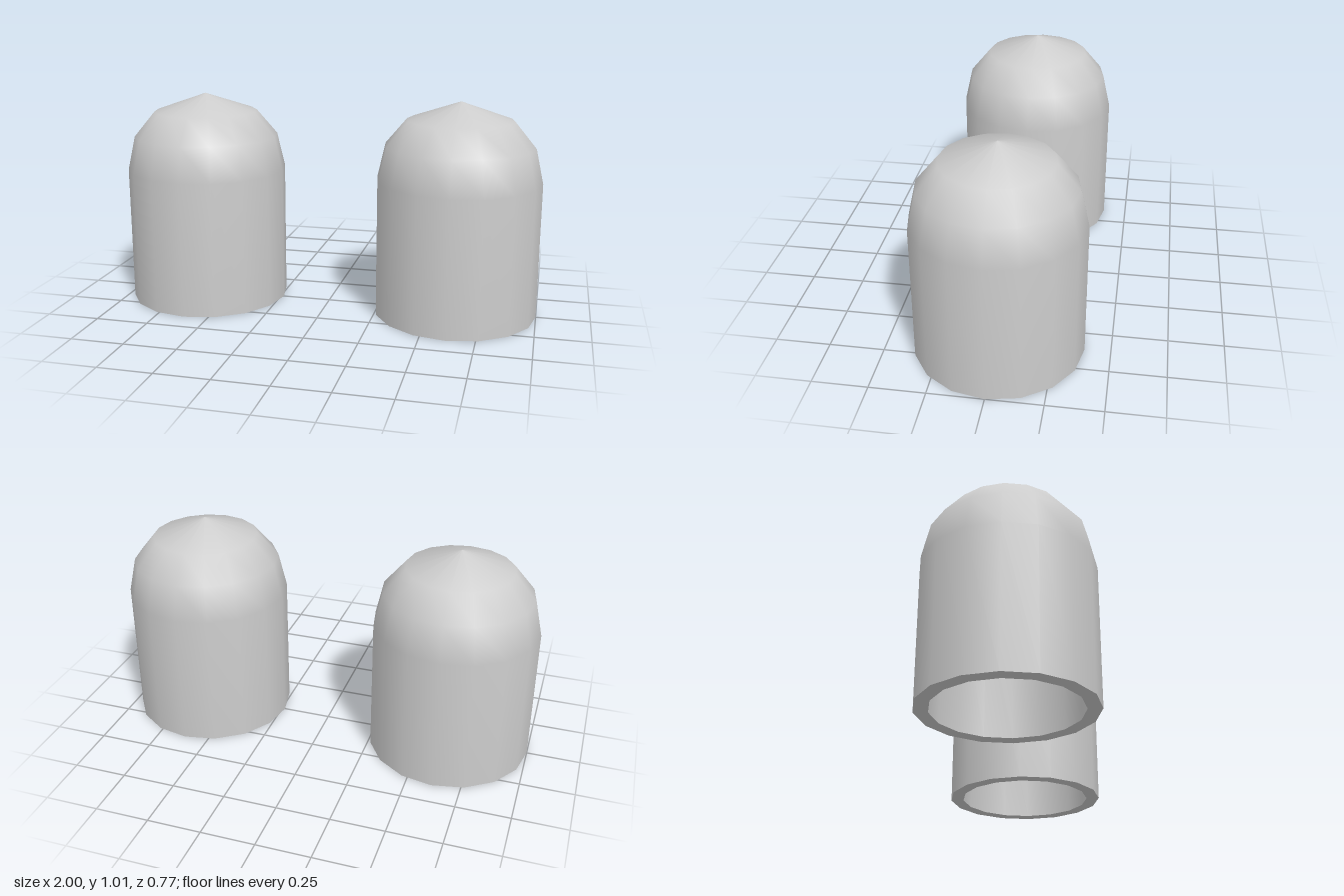
import * as THREE from 'three';

const SIDES = 16;
const material = new THREE.MeshStandardMaterial({ color: 0xcccccc });

// Each profile runs so that its faces point out of the solid wall.
const profiles = {
  outerShell: [[0.383, 0], [0.383, 0.643], [0.346, 0.805], [0.247, 0.924], [0, 1.01]],
  innerShell: [[0, 0.94], [0.206, 0.868], [0.289, 0.769], [0.32, 0.634], [0.32, 0]],
  bottomRim: [[0.32, 0], [0.383, 0]],
};

// Hollow, open-bottomed domed cap
function createCap(name) {
  const cap = new THREE.Group();
  cap.name = name;
  for (const [part, points] of Object.entries(profiles)) {
    const geometry = new THREE.LatheGeometry(points.map(([r, y]) => new THREE.Vector2(r, y)), SIDES);
    const mesh = new THREE.Mesh(geometry, material);
    mesh.name = part;
    cap.add(mesh);
  }
  return cap;
}

export function createModel() {
  const model = new THREE.Group();
  model.name = 'domedCaps';
  // Matching pair, left and right
  for (const [name, side] of [['leftCap', 1], ['rightCap', -1]]) {
    const cap = createCap(name);
    cap.position.x = side * 0.617;
    model.add(cap);
  }
  return model;
}
